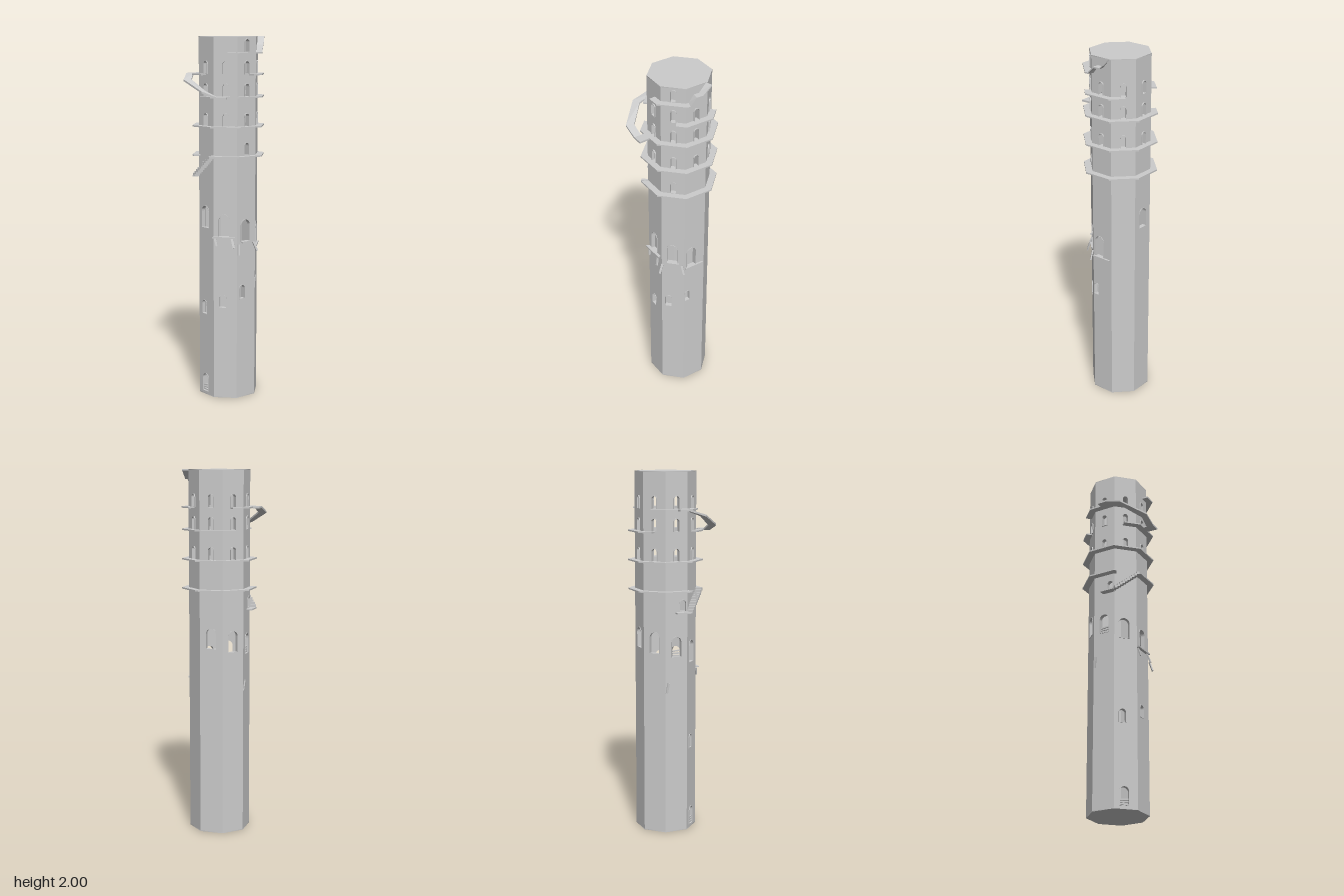
import * as THREE from 'three';

const stone = new THREE.MeshStandardMaterial({ color: 0xcccccc });
stone.name = 'pale stone';

const A = 0.155;                       // wall distance from the tower axis
const T = Math.tan(Math.PI / 8);
const WALL = 0.02;

// Position round the octagon: face number plus a fraction of that face's width
// (0 = front, 2 = left side, 4 = back, 6 = right side)
function around(s, a) {
  const k = Math.round(s), q = k * Math.PI / 4, u = (s - k) * 2 * a * T;
  return [a * Math.sin(q) + u * Math.cos(q), a * Math.cos(q) - u * Math.sin(q)];
}

// Slab swept through sections [innerX, innerZ, outerX, outerZ, topY]
function strip(sections, thick) {
  const pos = [];
  const quad = (a, b, c, d) => pos.push(...a, ...b, ...c, ...a, ...c, ...d);
  const rings = sections.map(([xi, zi, xo, zo, y]) => [
    [xi, y, zi], [xo, y, zo], [xo, y - thick, zo], [xi, y - thick, zi]]);
  for (let i = 0; i + 1 < rings.length; i++) {
    const p = rings[i], n = rings[i + 1];
    for (let j = 0; j < 4; j++) quad(p[j], p[(j + 1) % 4], n[(j + 1) % 4], n[j]);
  }
  const f = rings[0], l = rings[rings.length - 1];
  quad(f[0], f[3], f[2], f[1]);
  quad(l[0], l[1], l[2], l[3]);
  const g = new THREE.BufferGeometry();
  g.setAttribute('position', new THREE.Float32BufferAttribute(pos, 3));
  g.computeVertexNormals();
  return g;
}

// Walkway hugging the wall, from s0 to s1, following [s, y] points
function ledge(points, inner = 0.15, outer = 0.19, thick = 0.008) {
  return strip(points.map(([s, y]) => [...around(s, inner), ...around(s, outer), y]), thick);
}
function level(s0, s1, y, inner, outer) {
  const pts = [[s0, y]];
  for (let c = Math.floor(s0 + 0.5) + 0.5; c < s1 - 0.001; c++) if (c > s0 + 0.001) pts.push([c, y]);
  pts.push([s1, y]);
  // the corner itself belongs to the earlier face, so both faces meet there
  return ledge(pts, inner, outer);
}

// Round-headed opening outline
function arch(Type, u, y, w, h) {
  const r = w / 2, p = new Type();
  p.moveTo(u - r, y);
  p.lineTo(u + r, y);
  p.lineTo(u + r, y + h - r);
  p.absarc(u, y + h - r, r, 0, Math.PI, false);
  p.lineTo(u - r, y);
  return p;
}
const extrude = (shape, depth) =>
  new THREE.ExtrudeGeometry(shape, { depth, bevelEnabled: false, curveSegments: 6 });

export function createModel() {
  const model = new THREE.Group();
  model.name = 'octagonalTower';
  const tower = new THREE.Group();
  tower.name = 'tower';
  tower.position.z = -0.035;
  model.add(tower);
  const add = (name, geo, parent = tower) => {
    const m = new THREE.Mesh(geo, stone);
    m.name = name;
    parent.add(m);
    return m;
  };

  // Openings per face: [offset, sill height, width, height]
  const openings = [
    [[-0.008, 0.02, 0.048, 0.1], [-0.018, 0.47, 0.036, 0.075], [-0.008, 0.96, 0.058, 0.12]],
    [[-0.015, 0.52, 0.036, 0.07], [-0.008, 0.92, 0.056, 0.12]],
    [[-0.028, 0.57, 0.036, 0.075], [-0.006, 0.89, 0.058, 0.12], [0, 1.366, 0.03, 0.065], [0, 1.92, 0.028, 0.065]],
    [[-0.045, 0.62, 0.03, 0.065], [-0.02, 0.86, 0.056, 0.125]],
    [],
    [[0, 1.04, 0.056, 0.11]],
    [[0, 1.02, 0.056, 0.115]],
    [[0, 1.0, 0.056, 0.11], [0.038, 1.25, 0.034, 0.06]],
  ];

  // Walls, each pierced by its windows
  const half = A * T;
  openings.forEach((list, k) => {
    const face = new THREE.Group();
    face.name = 'wallSide' + k;
    face.rotation.y = k * Math.PI / 4;
    tower.add(face);
    const all = [...list, ...[1.522, 1.682, 1.802].map(y => [0, y, 0.028, 0.067])];
    const shape = new THREE.Shape([
      new THREE.Vector2(-half, 0.004), new THREE.Vector2(half, 0.004),
      new THREE.Vector2(half, 1.996), new THREE.Vector2(-half, 1.996)]);
    all.forEach(o => shape.holes.push(arch(THREE.Path, ...o)));
    add('wall', extrude(shape, WALL), face).position.z = A - WALL;
    // Raised surrounds
    all.forEach(([u, y, w, h]) => {
      const rim = arch(THREE.Shape, u, y - 0.002, w + 0.006, h + 0.005);
      rim.holes.push(arch(THREE.Path, u, y, w, h));
      add('windowSurround', extrude(rim, w < 0.03 ? 0.006 : 0.003), face).position.z = A;
    });
  });

  // Roof and floor slabs
  const R = A / Math.cos(Math.PI / 8);
  for (const [name, y] of [['roof', 1.998], ['floor', 0.002]]) {
    add(name, new THREE.CylinderGeometry(R, R, 0.004, 8, 1, false, Math.PI / 8)).position.y = y;
  }

  // Walkways
  add('stairLanding', level(6.95, 7.5, 1.247));
  add('walkway1', level(0.5, 7.6, 1.362));
  add('walkway2', level(0, 8, 1.522));
  add('walkway3', level(-0.1, 6, 1.682));
  add('walkway4Right', level(5.87, 8, 1.802));
  add('walkway4Left', level(2.13, 4.05, 1.802));
  add('walkway5', level(1.1, 2.5, 1.917));

  // Front flight of steps
  const steps = 10, run = 2 * 0.172 * T / steps;
  for (let i = 0; i < steps; i++) {
    add('step', new THREE.BoxGeometry(run * 1.05, 0.016, 0.04))
      .position.set((i + 0.5 - steps / 2) * run, 1.247 + (i + 0.5) * 0.0115, 0.172);
  }

  // Ramp to the roof, with a rest halfway
  add('roofRamp', ledge([[2.5, 1.917], [2.62, 1.917], [2.85, 1.955], [3.1, 1.955], [3.42, 2]]));

  // Ramp swung out in front of the wall
  add('hangingRamp', strip([
    [-0.137, 0.127, -0.165, 0.155, 1.802],
    [-0.1, 0.165, -0.128, 0.192, 1.802],
    [-0.045, 0.22, -0.06, 0.26, 1.772],
    [0.08, 0.22, 0.095, 0.26, 1.715],
    [0.123, 0.175, 0.152, 0.203, 1.684],
    [0.105, 0.16, 0.152, 0.203, 1.684],
    [0.145, 0.125, 0.19, 0.165, 1.684],
  ], 0.01));

  // Narrow broken balcony
  add('balconyLeftFront', level(0.5, 1.4, 0.92, 0.15, 0.172));
  add('balconyLeft', level(1.75, 2.25, 0.89, 0.15, 0.165));
  add('balconyLeftBack', level(2.55, 3.4, 0.862, 0.15, 0.165));

  // Loose planks: [s, distance out, y, length, outward tilt, sideways tilt]
  const planks = [
    [0.62, 0.163, 0.89, 0.045, -0.2, 0.3], [1.3, 0.17, 0.89, 0.06, -0.3, 0.25],
    [1.55, 0.172, 0.85, 0.06, -0.25, -0.2], [2.42, 0.165, 0.855, 0.055, -0.25, 0.3],
    [6.6, 0.16, 0.83, 0.06, 0.1, -0.15],
  ];
  for (const [s, out, y, len, tilt, lean] of planks) {
    const [x, z] = around(s, out);
    const m = add('loosePlank', new THREE.BoxGeometry(0.012, len, 0.007));
    m.position.set(x, y, z);
    m.rotation.set(tilt, Math.round(s) * Math.PI / 4, lean, 'YXZ');
  }

  // Boards across the door and the right front window
  for (const [s, u, y0] of [[0, -0.008, 0.027], [7, 0, 1.007]]) {
    for (let i = 0; i < 3; i++) {
      const [x, z] = around(s + u / (2 * A * T), A - 0.006);
      const m = add('board', new THREE.BoxGeometry(0.046, 0.008, 0.006));
      m.position.set(x, y0 + i * 0.013, z);
      m.rotation.set(0, s * Math.PI / 4, (i - 1) * 0.08, 'YXZ');
    }
  }
  return model;
}
